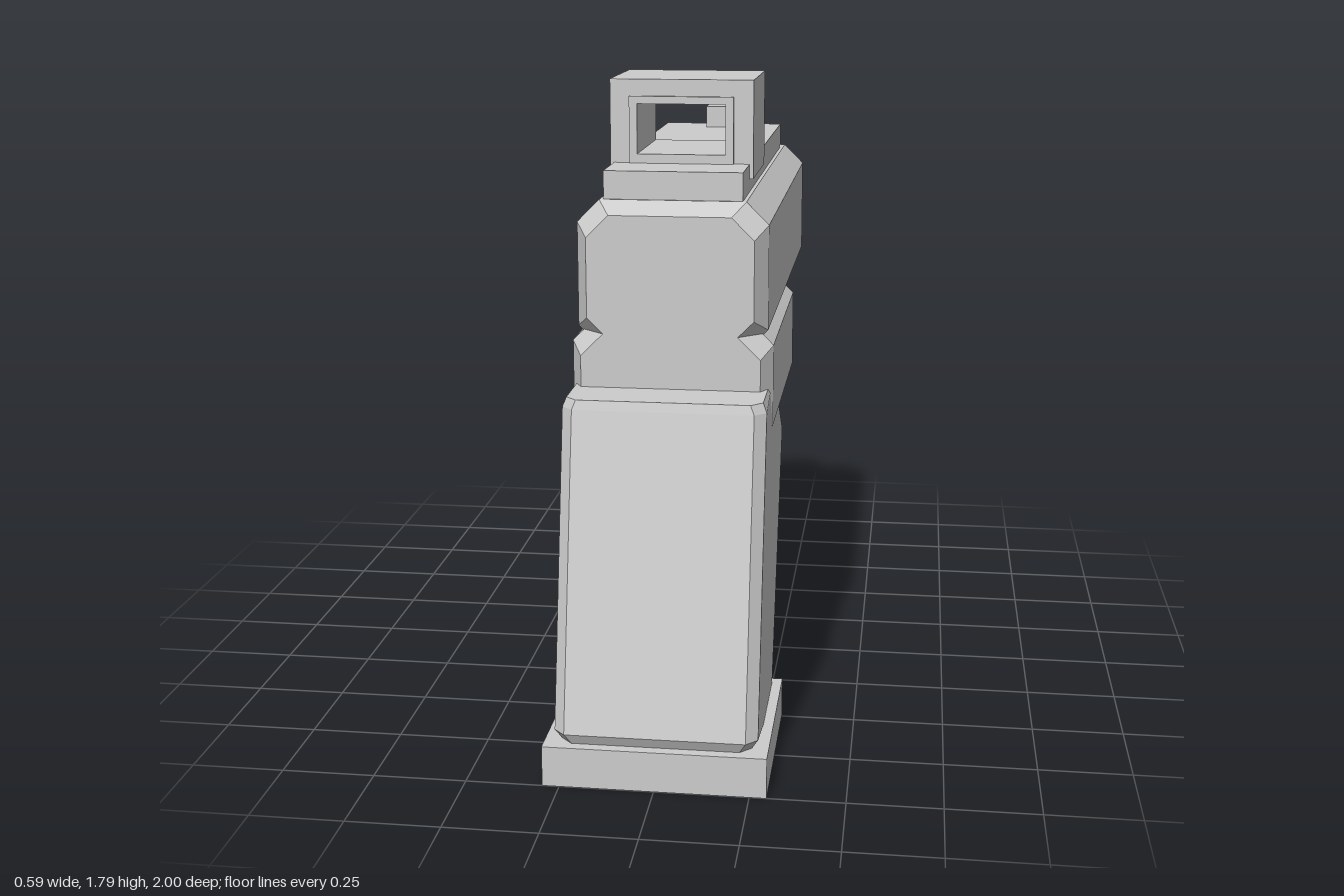
import * as THREE from 'three';

const grey = new THREE.MeshStandardMaterial({ color: 0xcccccc });
grey.name = 'plain grey';

// Faceted, capped skin through rings of equal point count (counter-clockwise seen from the last ring)
function loft(rings) {
  const pos = [], n = rings[0].length;
  const tri = (a, b, c) => pos.push(...a, ...b, ...c);
  for (let i = 0; i < rings.length - 1; i++) {
    for (let j = 0; j < n; j++) {
      const k = (j + 1) % n, a = rings[i], b = rings[i + 1];
      tri(a[j], a[k], b[k]);
      tri(a[j], b[k], b[j]);
    }
  }
  const first = rings[0], last = rings[rings.length - 1];
  for (let j = 1; j < n - 1; j++) {
    tri(first[0], first[j + 1], first[j]);
    tri(last[0], last[j], last[j + 1]);
  }
  const g = new THREE.BufferGeometry();
  g.setAttribute('position', new THREE.Float32BufferAttribute(pos, 3));
  g.computeVertexNormals();
  return g;
}

// Long block with chamfered edges and tapered ends
function chamferBlock(w, y0, y1, z0, z1, c, taper, inset) {
  const ring = (z, s) => {
    const X = w - s, B = y0 + s, T = y1 - s;
    return [[X, B + c, z], [X, T - c, z], [X - c, T, z], [c - X, T, z],
      [-X, T - c, z], [-X, B + c, z], [c - X, B, z], [X - c, B, z]];
  };
  return loft([ring(z0, inset), ring(z0 + taper, 0), ring(z1 - taper, 0), ring(z1, inset)]);
}

// Slanted grip ring: rear height and depth, front height and depth, half width
function gripRing(yB, zB, yF, zF, w) {
  const c = 0.03;
  const half = [[w - c, yB, zB], [w, yB, zB - c], [w, yF, zF + c], [w - c, yF, zF]];
  return [...half, ...half.map(([x, y, z]) => [-x, y, z]).reverse()];
}

function rect(Type, w, y0, y1) {
  const s = new Type();
  s.moveTo(-w, y0); s.lineTo(w, y0); s.lineTo(w, y1); s.lineTo(-w, y1); s.closePath();
  return s;
}

// Rectangular tube along z with a window through it
function windowFrame(w, y0, y1, z0, z1) {
  const shape = rect(THREE.Shape, w, y0, y1);
  shape.holes.push(rect(THREE.Path, 0.12, 1.59, 1.725));
  return new THREE.ExtrudeGeometry(shape, { depth: z1 - z0, bevelEnabled: false }).translate(0, 0, z0);
}

export function createModel() {
  const model = new THREE.Group();
  const add = (name, geometry) => {
    const m = new THREE.Mesh(geometry, grey);
    m.name = name;
    model.add(m);
    return m;
  };
  const box = (name, x0, x1, y0, y1, z0, z1) =>
    add(name, new THREE.BoxGeometry(x1 - x0, y1 - y0, z1 - z0)
      .translate((x0 + x1) / 2, (y0 + y1) / 2, (z0 + z1) / 2));
  const rod = (name, r, y, z0, z1) =>
    add(name, new THREE.CylinderGeometry(r, r, z1 - z0, 16).rotateX(Math.PI / 2)
      .translate(0, y, (z0 + z1) / 2));

  // Main body
  add('slide', chamferBlock(0.255, 1.09, 1.49, -0.76, 0.66, 0.06, 0.06, 0.033));
  add('frame', chamferBlock(0.27, 0.83, 1.17, -0.165, 0.66, 0.06, 0.055, 0.03));
  add('grip', loft([
    gripRing(0.09, 0.96, 0.04, 0.52, 0.24),
    gripRing(0.14, 0.985, 0.06, 0.51, 0.268),
    gripRing(0.97, 0.806, 0.78, 0.215, 0.268),
    gripRing(0.995, 0.8, 0.995, 0.4, 0.268 - 0.01),
  ]));
  box('gripBase', -0.295, 0.295, 0, 0.11, 0.49, 1);

  // Top plate and sights
  box('topPlate', -0.185, 0.185, 1.47, 1.565, -0.63, 0.592);
  add('sightHood', windowFrame(0.195, 1.525, 1.79, 0.083, 0.417));
  add('sightRim', windowFrame(0.142, 1.53, 1.745, 0.41, 0.428));
  box('frontSight', -0.045, 0.045, 1.55, 1.63, -0.622, -0.513);

  // Barrel and muzzle
  rod('barrel', 0.083, 1.29, -0.86, -0.7);
  rod('muzzle', 0.096, 1.16, -1, -0.85);
  for (let i = 0; i < 4; i++) {
    const a = Math.PI / 4 + i * Math.PI / 2;
    const vent = add('muzzleVent', new THREE.BoxGeometry(0.012, 0.024, 0.07));
    vent.position.set(0.094 * Math.cos(a), 1.16 + 0.094 * Math.sin(a), -0.925);
    vent.rotation.z = a;
  }

  // Underside parts
  box('lowerPlate', -0.21, 0.21, 0.78, 0.855, -0.46, 0.05);
  box('crossBar', -0.21, 0.21, 0.725, 0.785, -0.062, 0);
  box('triggerGuard', -0.21, 0.21, 0.578, 0.64, -0.06, 0.31);
  box('trigger', -0.07, 0.07, 0.658, 0.85, 0.135, 0.185);

  // Side lever
  box('sideLever', -0.295, -0.25, 1.07, 1.165, 0.03, 0.35);

  return model;
}
